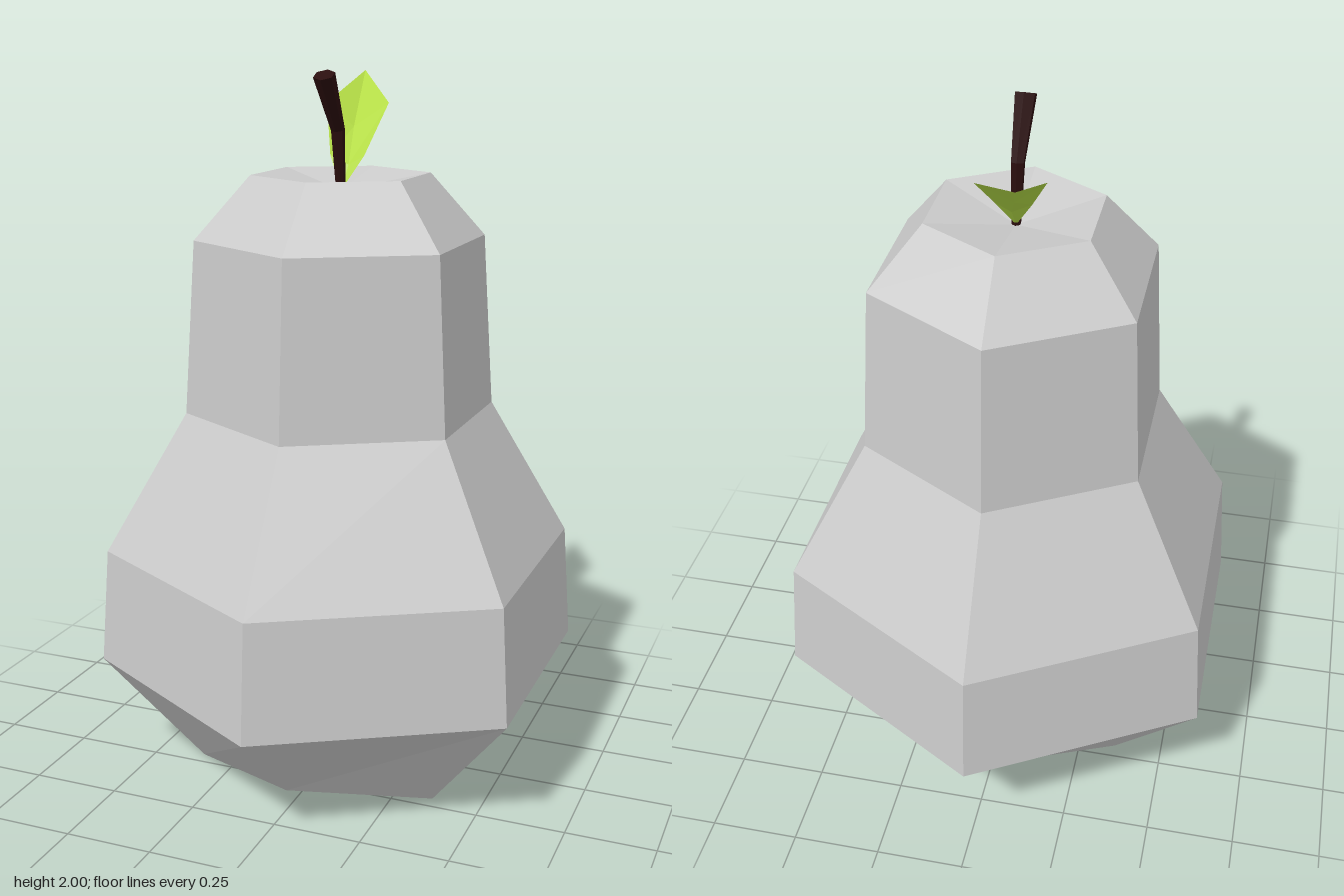
import * as THREE from 'three';

const material = (color, side = THREE.FrontSide) =>
  new THREE.MeshStandardMaterial({ color, flatShading: true, side });

// Skin over rings of equal point count, each ring running from +z towards +x
function loft(rings, startCentre, endCentre) {
  const n = rings[0].length;
  const pos = [];
  const tri = (a, b, c) => pos.push(...a, ...b, ...c);
  for (let i = 0; i < n; i++) {
    const j = (i + 1) % n;
    for (let r = 0; r < rings.length - 1; r++) {
      const [lo, hi] = [rings[r], rings[r + 1]];
      tri(lo[i], lo[j], hi[j]);
      tri(lo[i], hi[j], hi[i]);
    }
    const last = rings[rings.length - 1];
    tri(last[i], last[j], endCentre);
    tri(rings[0][j], rings[0][i], startCentre);
  }
  return toGeometry(pos);
}

function toGeometry(pos) {
  const geometry = new THREE.BufferGeometry();
  geometry.setAttribute('position', new THREE.Float32BufferAttribute(pos, 3));
  geometry.computeVertexNormals();
  return geometry;
}

function addMesh(group, name, geometry, mat) {
  const mesh = new THREE.Mesh(geometry, mat);
  mesh.name = name;
  group.add(mesh);
}

// Six-sided ring; tilt leans it forwards about x
function hexRing(radius, y, z = 0, tilt = 0) {
  return Array.from({ length: 6 }, (_, i) => {
    const a = (i * Math.PI) / 3;
    const d = radius * Math.cos(a);
    return [radius * Math.sin(a), y - d * Math.sin(tilt), z + d * Math.cos(tilt)];
  });
}

export function createModel() {
  const group = new THREE.Group();
  group.name = 'pear';

  // Body: hexagonal rings, with a folded base and a dimpled top
  const rings = [[0.415, 0], [0.7, 0.33], [0.675, 0.66], [0.44, 1.06], [0.407, 1.545], [0.25, 1.72]]
    .map(([r, y]) => hexRing(r, y));
  rings[0][0][1] = rings[0][3][1] = 0.06;
  addMesh(group, 'body', loft(rings, [0, 0.06, 0], [0, 1.675, 0]), material(0xcccccc));

  // Stem: thickens upwards and bends forwards
  const stem = [
    hexRing(0.013, 1.67, 0.002, 0.1),
    hexRing(0.019, 1.84, 0.024, 0.3),
    hexRing(0.03, 1.987, 0.122, 0.45),
  ];
  addMesh(group, 'stem', loft(stem, [0, 1.67, 0.002], [0, 1.987, 0.122]), material(0x2a0d0d));

  // Leaf: rows of left edge, midrib, right edge, folded along the midrib
  const base = [0, 1.675, 0];
  const tip = [-0.085, 1.983, -0.411];
  const rows = [
    [base, base, base],
    [[-0.053, 1.765, -0.052], [0, 1.74, -0.055], [0.045, 1.765, -0.058]],
    [[-0.117, 1.9, -0.187], [-0.033, 1.835, -0.182], [0.056, 1.9, -0.225]],
    [tip, tip, tip],
  ];
  const pos = [];
  for (let r = 0; r < 3; r++) {
    for (let c = 0; c < 2; c++) {
      const [a, b, d, e] = [rows[r][c], rows[r][c + 1], rows[r + 1][c + 1], rows[r + 1][c]];
      if (a !== b) pos.push(...a, ...b, ...d);
      if (d !== e) pos.push(...a, ...d, ...e);
      else if (a === b) pos.push(...a, ...b, ...d);
    }
  }
  addMesh(group, 'leaf', toGeometry(pos), material(0xb4dc46, THREE.DoubleSide));

  return group;
}
